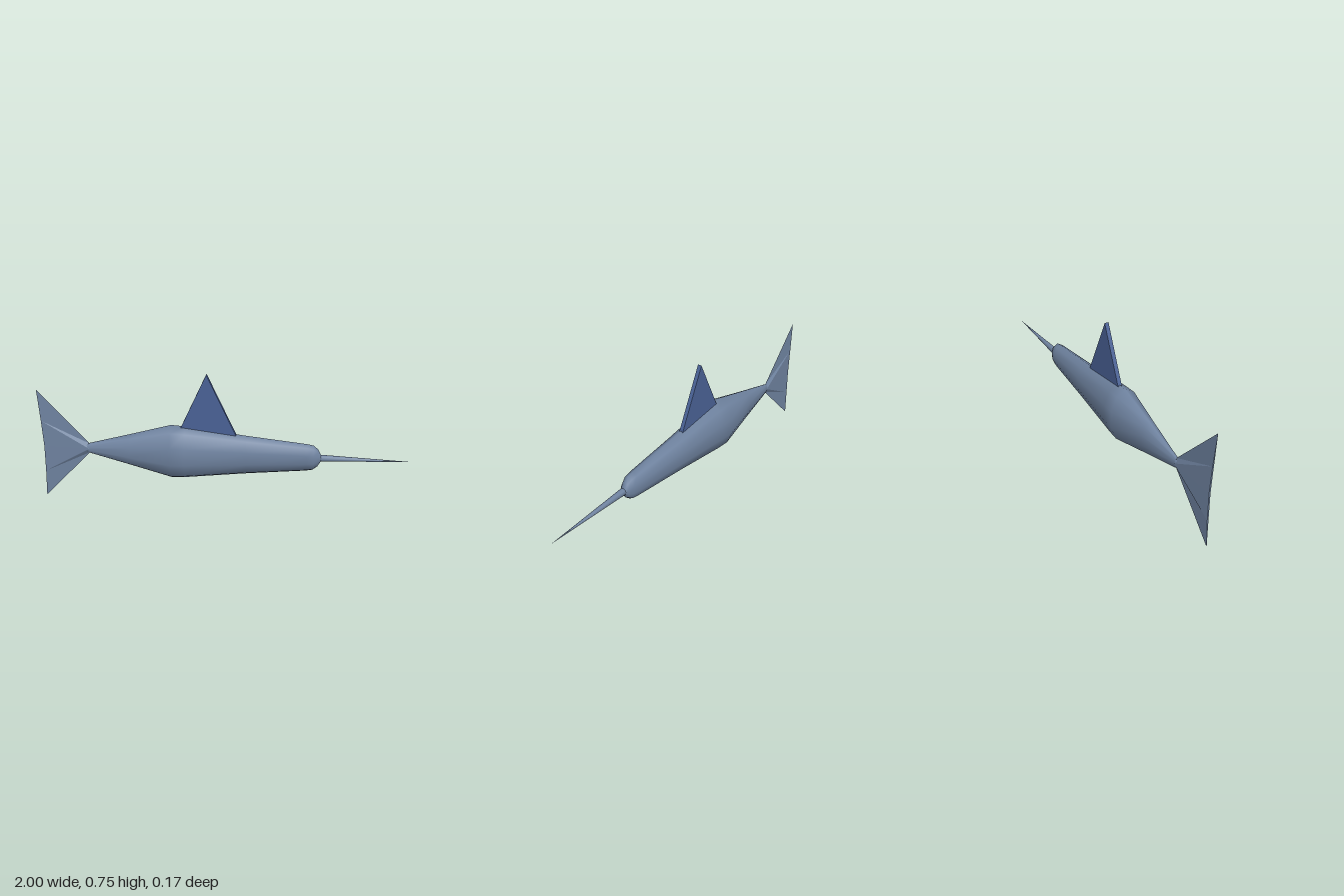
import * as THREE from 'three';

const AXIS_Y = 0.302; // height of the body's long axis

// Smooth skin over elliptical rings [x, halfHeight, halfWidth] running along x
function loft(rings, sides) {
  const pos = [], index = [];
  for (const [x, ry, rz] of rings) {
    for (let j = 0; j < sides; j++) {
      const t = (j / sides) * Math.PI * 2;
      pos.push(x, AXIS_Y + ry * Math.cos(t), rz * Math.sin(t));
    }
  }
  for (let i = 0; i < rings.length - 1; i++) {
    for (let j = 0; j < sides; j++) {
      const a = i * sides + j, b = i * sides + (j + 1) % sides;
      index.push(a, b, a + sides, b, b + sides, a + sides);
    }
  }
  const geo = new THREE.BufferGeometry();
  geo.setAttribute('position', new THREE.Float32BufferAttribute(pos, 3));
  geo.setIndex(index);
  geo.computeVertexNormals();
  return geo;
}

// One tail lobe: thick at the root, tapering to a sharp tip; dir is +1 up, -1 down
function tailLobe(dir) {
  const y = (h) => AXIS_Y + dir * h;
  const tip = [-1, y(dir > 0 ? 0.326 : AXIS_Y), 0];
  const rootEdge = [-0.73, y(0.026), 0];
  const pos = [];
  for (const s of [1, -1]) {
    const root = [-0.73, AXIS_Y, 0.014 * s];
    const back = [-0.985, AXIS_Y, 0.004 * s];
    const mid = [-0.99, y(0.15), 0.0035 * s];
    const tris = [[root, rootEdge, mid], [rootEdge, tip, mid], [root, mid, back]];
    for (const [a, b, c] of tris) {
      pos.push(...a, ...(s * dir > 0 ? b : c), ...(s * dir > 0 ? c : b));
    }
  }
  // narrow trailing edge
  const b1 = [-0.985, AXIS_Y, 0.004], b2 = [-0.985, AXIS_Y, -0.004];
  const m1 = [-0.99, y(0.15), 0.0035], m2 = [-0.99, y(0.15), -0.0035];
  pos.push(...b1, ...m1, ...m2, ...b1, ...m2, ...b2, ...m1, ...tip, ...m2);
  const geo = new THREE.BufferGeometry();
  geo.setAttribute('position', new THREE.Float32BufferAttribute(pos, 3));
  geo.computeVertexNormals();
  return geo;
}

export function createModel() {
  const group = new THREE.Group();
  const skin = new THREE.MeshStandardMaterial({ color: 0x6f83a0 });
  const finBlue = new THREE.MeshStandardMaterial({ color: 0x4a6296 });
  const tailSkin = new THREE.MeshStandardMaterial({ color: 0x6f83a0, side: THREE.DoubleSide });

  const add = (name, geometry, material) => {
    const mesh = new THREE.Mesh(geometry, material);
    mesh.name = name;
    group.add(mesh);
    return mesh;
  };

  // Ten-sided body, deepest behind the dorsal fin, with a blunt snout
  add('body', loft([
    [-0.735, 0.028, 0.014],
    [-0.5, 0.092, 0.05],
    [-0.275, 0.155, 0.087],
    [-0.2, 0.15, 0.084],
    [0.13, 0.11, 0.061],
    [0.45, 0.077, 0.042],
    [0.485, 0.07, 0.038],
    [0.51, 0.048, 0.027],
    [0.525, 0.018, 0.018],
  ], 10), skin);

  // Long pointed bill
  add('bill', loft([
    [0.52, 0.019, 0.019],
    [0.76, 0.0095, 0.0095],
    [1, 0.0003, 0.0003],
  ], 8), skin);

  // Slim keel running from the body into the tail
  add('tailKeel', loft([
    [-0.925, 0.0005, 0.0005],
    [-0.83, 0.009, 0.009],
    [-0.73, 0.026, 0.014],
  ], 10), skin);

  // Crescent tail fin
  add('upperTailLobe', tailLobe(1), tailSkin);
  add('lowerTailLobe', tailLobe(-1), tailSkin);

  // Upright triangular dorsal fin
  const finShape = new THREE.Shape([
    new THREE.Vector2(-0.225, 0.44),
    new THREE.Vector2(0.075, 0.41),
    new THREE.Vector2(-0.083, 0.746),
  ]);
  const fin = new THREE.ExtrudeGeometry(finShape, { depth: 0.022, bevelEnabled: false });
  add('dorsalFin', fin.translate(0, 0, -0.011), finBlue);

  return group;
}
